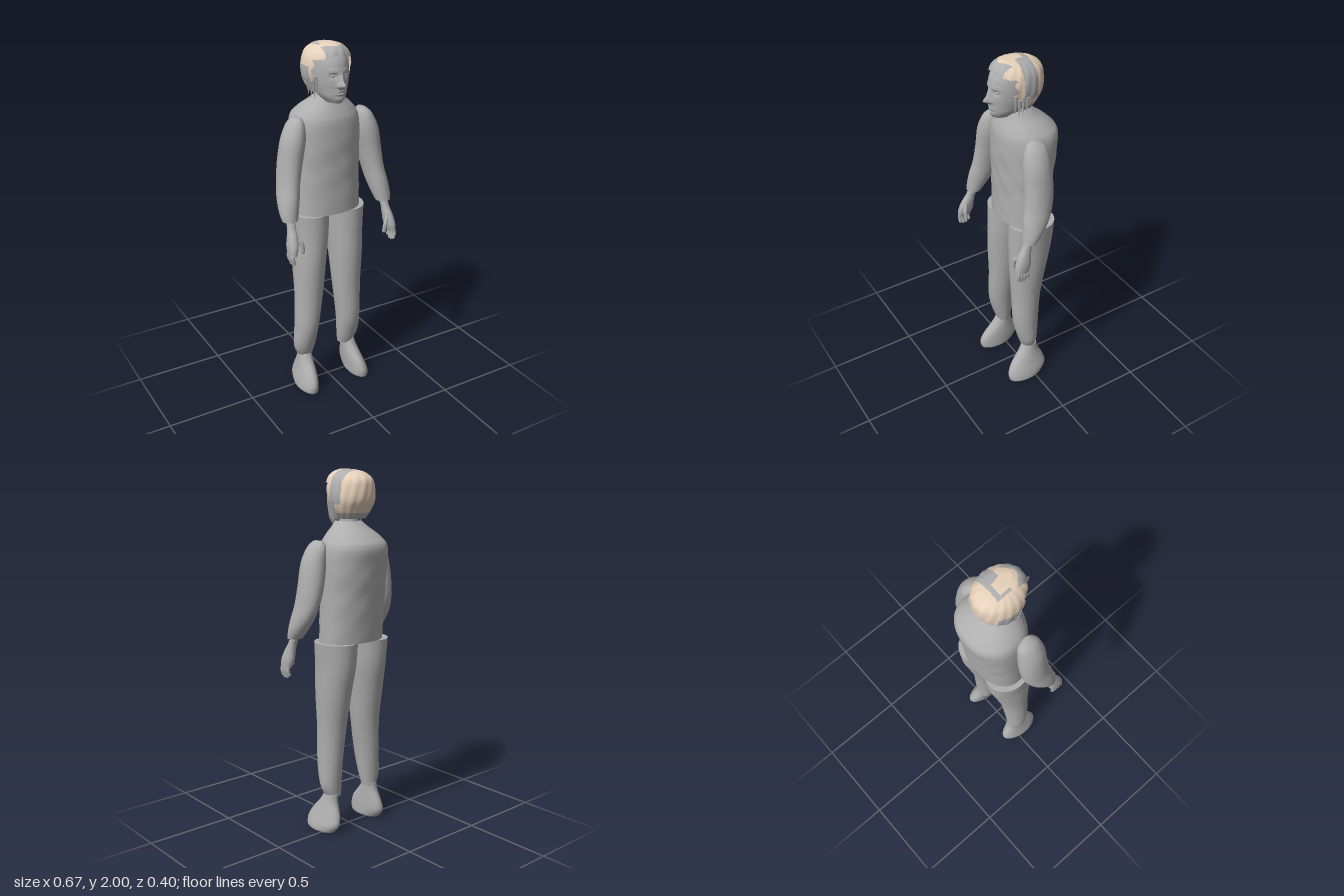
import * as THREE from 'three';
import { toCreasedNormals } from 'three/addons/utils/BufferGeometryUtils.js';

// Smooth interpolation through rows of [y, centreX, centreZ, radiusX, radiusZ]
function smoothRows(rows, steps) {
  const out = [];
  const last = rows.length - 1;
  for (let i = 0; i <= last * steps; i++) {
    const k = Math.min(Math.floor(i / steps), last - 1), t = i / steps - k;
    const [a, b, c, d] = [k - 1, k, k + 1, k + 2].map(n => rows[Math.max(0, Math.min(last, n))]);
    out.push(b.map((p, n) => 0.5 * (2 * p + (c[n] - a[n]) * t
      + (2 * a[n] - 5 * p + 4 * c[n] - d[n]) * t * t + (3 * p - a[n] - 3 * c[n] + d[n]) * t * t * t)));
  }
  return out;
}

// Closed skin over horizontal rings, listed from top to bottom
function loft(rows, { steps = 6, sides = 32, power = 2, rule = null } = {}) {
  const rings = smoothRows(rows, steps);
  const first = rings[0], end = rings[rings.length - 1];
  rings.unshift([first[0], first[1], first[2], 0, 0]);
  rings.push([end[0], end[1], end[2], 0, 0]);
  const positions = [], index = [], p = new THREE.Vector3();
  const bend = v => Math.sign(v) * Math.pow(Math.abs(v), 2 / power);
  for (const [y, cx, cz, rx, rz] of rings) {
    for (let j = 0; j < sides; j++) {
      const a = j / sides * Math.PI * 2;
      p.set(cx + rx * bend(Math.cos(a)), y, cz + rz * bend(Math.sin(a)));
      if (rule) rule(p);
      positions.push(p.x, p.y, p.z);
    }
  }
  for (let i = 0; i < rings.length - 1; i++) {
    for (let j = 0; j < sides; j++) {
      const a = i * sides + j, b = i * sides + (j + 1) % sides, c = a + sides, d = b + sides;
      if (i > 0) index.push(a, b, c);
      if (i === 0) index.push(b, d, c);
      else if (i < rings.length - 2) index.push(b, d, c);
    }
  }
  const geometry = new THREE.BufferGeometry();
  geometry.setAttribute('position', new THREE.Float32BufferAttribute(positions, 3));
  geometry.setIndex(index);
  return geometry;
}

export function createModel() {
  const model = new THREE.Group();
  const grey = new THREE.MeshStandardMaterial({ color: 0xaeaeae, side: THREE.DoubleSide });
  grey.name = 'plain grey';
  const tan = new THREE.MeshStandardMaterial({ color: 0xe6d0ba, side: THREE.DoubleSide });
  tan.name = 'pale tan';

  const add = (name, geometry, parent = model, material = grey) => {
    const mesh = new THREE.Mesh(geometry, material);
    mesh.name = name;
    parent.add(mesh);
    return mesh;
  };
  const skin = (rows, options) => toCreasedNormals(loft(rows, options), 0.9);
  const bump = (v, c, w) => Math.exp(-(((v - c) / w) ** 2));

  // Shirt body, with soft folds in the cloth
  add('torso', skin([
    [1.73, 0, 0.005, 0.07, 0.07], [1.70, 0, -0.008, 0.1, 0.092], [1.65, 0, -0.03, 0.155, 0.135],
    [1.6, 0, -0.042, 0.185, 0.16], [1.5, 0, -0.037, 0.193, 0.157], [1.3, 0, -0.028, 0.189, 0.142],
    [1.09, 0, -0.018, 0.192, 0.132],
  ], {
    sides: 56, power: 2.2, steps: 8,
    rule: p => { p.z += 0.003 * Math.sin(p.y * 38 + p.x * 17) * Math.sin(p.x * 31) * bump(p.y, 1.35, 0.2); },
  }));

  // Neck
  add('neck', skin([[1.8, -0.005, 0.01, 0.055, 0.06], [1.72, -0.003, 0.005, 0.055, 0.06],
    [1.62, 0, -0.01, 0.07, 0.07]]));

  // Limbs, mirrored with a small difference in stance
  for (const s of [1, -1]) {
    const side = s > 0 ? 'left' : 'right';
    const place = (rows, shift = () => 0) =>
      rows.map(([y, x, ...rest]) => [y, s * (x + (s < 0 ? shift(y) : 0)), ...rest]);

    add(side + 'TrouserLeg', skin(place([
      [1.09, 0.11, -0.022, 0.11, 0.13], [0.95, 0.109, -0.015, 0.1, 0.126], [0.8, 0.112, 0, 0.092, 0.11],
      [0.6, 0.113, 0.014, 0.08, 0.086], [0.4, 0.122, 0.02, 0.069, 0.075],
      [0.27, 0.125, 0.01, 0.064, 0.055], [0.2, 0.115, 0, 0.045, 0.04],
    ], y => 0.05 * Math.max(0, 1 - y))));

    add(side + 'Shoe', skin(place([
      [0.215, 0.132, 0, 0.038, 0.045], [0.17, 0.138, 0.01, 0.042, 0.062], [0.1, 0.15, 0.024, 0.05, 0.108],
      [0.05, 0.16, 0.032, 0.056, 0.124], [0.012, 0.165, 0.045, 0.057, 0.11], [0, 0.165, 0.05, 0.05, 0.1],
    ], y => 0.008 + 0.09 * y)));

    add(side + 'Sleeve', skin(place([
      [1.635, 0.195, 0.02, 0.018, 0.03], [1.6, 0.205, 0.02, 0.045, 0.06], [1.52, 0.222, 0.025, 0.064, 0.075],
      [1.4, 0.243, 0.025, 0.063, 0.08], [1.3, 0.26, 0.036, 0.058, 0.08], [1.22, 0.275, 0.06, 0.057, 0.073],
      [1.16, 0.285, 0.085, 0.052, 0.056], [1.115, 0.29, 0.106, 0.043, 0.04],
    ])));

    // Wrist and palm, then four fingers and a thumb
    const hand = new THREE.Group();
    hand.name = side + 'Hand';
    model.add(hand);
    add('palm', skin(place([
      [1.14, 0.287, 0.1, 0.021, 0.026], [1.08, 0.293, 0.125, 0.021, 0.027], [1.04, 0.297, 0.142, 0.025, 0.035],
      [0.99, 0.304, 0.154, 0.026, 0.044], [0.945, 0.311, 0.163, 0.018, 0.038],
    ]), { sides: 20, power: 2.4 }), hand);
    const finger = (name, points, radius) => {
      const path = new THREE.CatmullRomCurve3(points.map(([x, y, z]) => new THREE.Vector3(s * x, y, z)));
      add(name, new THREE.TubeGeometry(path, 10, radius, 8), hand);
      add(name + 'Tip', new THREE.SphereGeometry(radius, 8, 6), hand).position.copy(path.getPoint(1));
    };
    for (let i = 0; i < 4; i++) {
      const z = 0.132 + i * 0.018, low = 0.895 + (i === 0 ? 0.012 : 0) + (i === 3 ? 0.008 : 0);
      finger('finger' + (i + 1), [[0.311, 0.965, z], [0.319, 0.935, z + 0.003], [0.312, low, z + 0.002]], 0.0095);
    }
    finger('thumb', [[0.288, 1.035, 0.16], [0.262, 1.0, 0.18], [0.255, 0.955, 0.18]], 0.011);
  }

  const head = new THREE.Group();
  head.name = 'head';
  head.position.x = -0.01;
  model.add(head);

  // Face, with nose, brow, lips and chin raised from the front
  add('face', skin([
    [1.985, 0, 0.03, 0.03, 0.05], [1.97, 0, 0.02, 0.062, 0.088], [1.93, 0, 0.015, 0.09, 0.122],
    [1.88, 0, 0.015, 0.097, 0.134], [1.82, 0, 0.02, 0.093, 0.13], [1.77, 0, 0.032, 0.08, 0.115],
    [1.74, 0, 0.05, 0.066, 0.095], [1.71, 0, 0.072, 0.04, 0.062],
  ], {
    sides: 112, steps: 11,
    rule: p => {
      if (p.z < 0.05) return;
      const x = Math.abs(p.x);
      p.z += 0.04 * bump(x, 0, 0.014) * bump(p.y, 1.808, 0.018)
        + 0.016 * bump(x, 0, 0.012) * bump(p.y, 1.84, 0.022)
        + 0.008 * bump(x, 0.018, 0.009) * bump(p.y, 1.802, 0.009)
        + 0.004 * bump(x, 0.035, 0.025) * bump(p.y, 1.877, 0.01)
        - 0.011 * bump(x, 0.035, 0.017) * bump(p.y, 1.853, 0.013)
        + 0.009 * bump(x, 0, 0.025) * (bump(p.y, 1.775, 0.006) + bump(p.y, 1.76, 0.006))
        + 0.008 * bump(x, 0, 0.022) * bump(p.y, 1.73, 0.014);
    },
  }), head);
  for (const s of [1, -1]) {
    const eye = add('eye', new THREE.SphereGeometry(0.012, 14, 10), head);
    eye.position.set(s * 0.035, 1.853, 0.125);
  }

  // Hair shell, open over the face and split into tan and grey locks
  const shell = loft([
    [2.0, 0, 0.03, 0.03, 0.045], [1.985, 0, 0.015, 0.072, 0.1], [1.95, 0, 0.004, 0.108, 0.134],
    [1.9, 0, 0, 0.124, 0.14], [1.84, 0, -0.012, 0.124, 0.122], [1.79, 0, -0.015, 0.108, 0.092],
    [1.745, 0, -0.012, 0.08, 0.07],
  ], {
    sides: 120, steps: 12,
    rule: p => {
      const a = Math.atan2(p.z, p.x), lock = 1 + 0.012 * Math.sin(a * 17 + p.y * 30);
      p.x *= lock;
      p.z *= lock;
    },
  });
  shell.computeVertexNormals();
  const isOpen = (x, y, z) => y < 1.955 - 0.25 * Math.abs(x) && z > 0.06 + 0.01 * Math.sin(y * 90)
    || y < 1.8 && z > 0.01;
  const isGrey = (x, y, z) => {
    const parting = x > -0.045 && x < 0.02 && z > -0.03 && y > 1.95;
    const band = x > -0.06 && z > -0.055 && z < 0.025 && y > 1.82 && !parting;
    const earSide = x < -0.05 && z > -0.09 && z < 0.03 && y > 1.81 && y < 1.89;
    const fringe = Math.abs(x) < 0.065 && z > 0.1 - 0.8 * Math.max(0, Math.abs(x) - 0.01);
    const nape = y < 1.775;
    return band || earSide || fringe || nape;
  };
  const pos = shell.attributes.position;
  const locks = { tan: [], grey: [] };
  for (let i = 0; i < shell.index.count; i += 3) {
    const face = [0, 1, 2].map(k => shell.index.getX(i + k));
    const mid = ['getX', 'getY', 'getZ'].map(g => face.reduce((sum, v) => sum + pos[g](v) / 3, 0));
    if (!isOpen(...mid)) (isGrey(...mid) ? locks.grey : locks.tan).push(...face);
  }
  for (const [name, faces] of Object.entries(locks)) {
    const part = shell.clone();
    part.setIndex(faces);
    add(name + 'Hair', part, head, name === 'tan' ? tan : grey);
  }

  // Loose strands beside the cheeks
  for (const s of [1, -1]) {
    for (let i = 0; i < 4; i++) {
      const strand = add('strand', new THREE.ConeGeometry(0.013, 0.1 + 0.015 * (i % 2), 6), head);
      strand.position.set(s * (0.11 - 0.008 * i), 1.785 - 0.008 * (i % 3), 0.005 + 0.017 * i);
      strand.rotation.set(Math.PI, 0, s * 0.12);
    }
  }
  return model;
}
